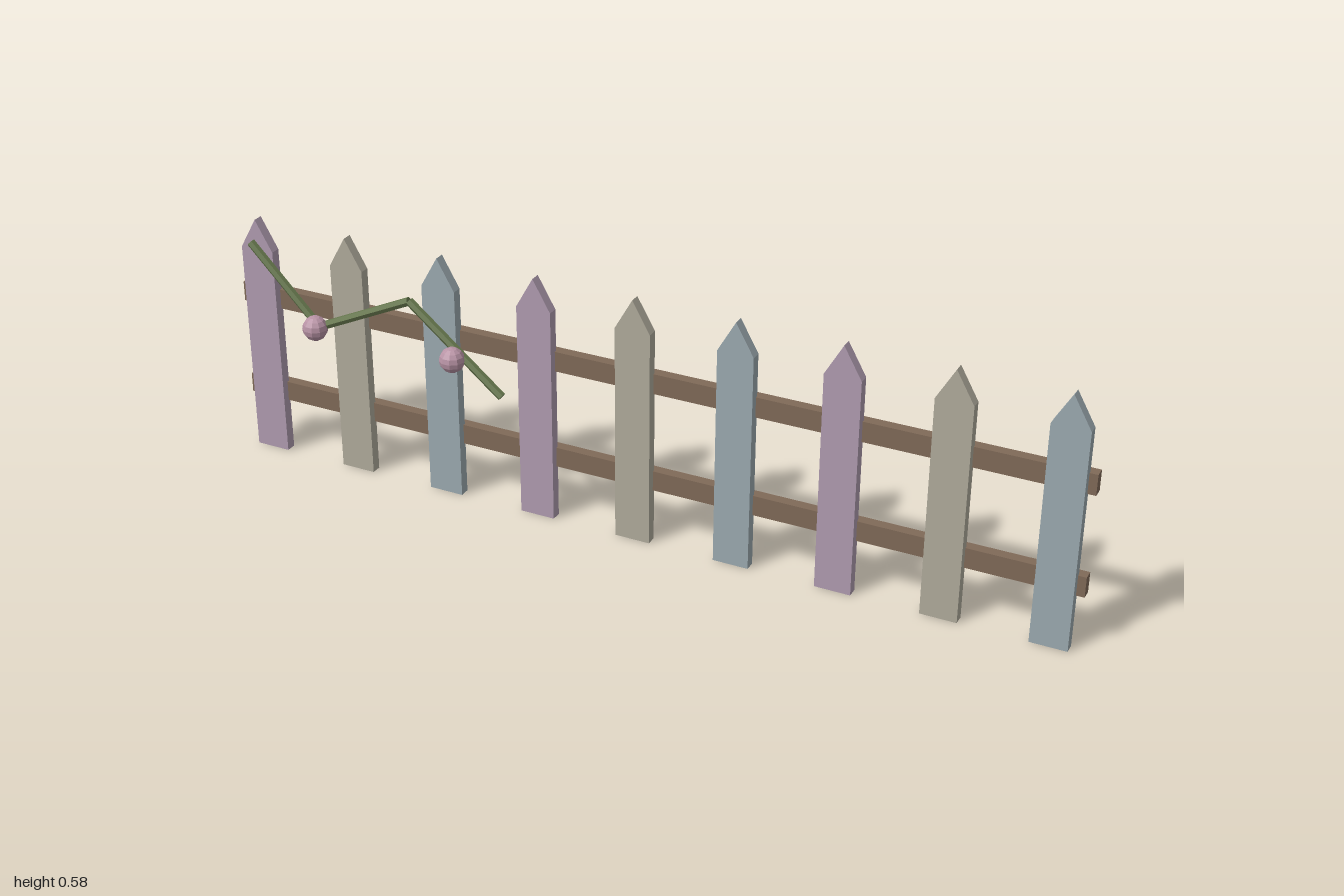
import * as THREE from 'three';

const material = (color) => new THREE.MeshStandardMaterial({ color, flatShading: true });

function addMesh(parent, name, geometry, mat, x = 0, y = 0, z = 0) {
  const mesh = new THREE.Mesh(geometry, mat);
  mesh.name = name;
  mesh.position.set(x, y, z);
  parent.add(mesh);
  return mesh;
}

export function createModel() {
  const fence = new THREE.Group();
  fence.name = 'picketFence';

  // Pointed pickets in three repeating pastel colours
  const half = 0.041, shoulder = 0.505, tip = 0.577;
  const outline = new THREE.Shape([
    [-half, 0], [half, 0], [half, shoulder], [0, tip], [-half, shoulder],
  ].map(([x, y]) => new THREE.Vector2(x, y)));
  const picketGeometry = new THREE.ExtrudeGeometry(outline, { depth: 0.024, bevelEnabled: false });
  const paints = [0xb09cb0, 0xb0ab9c, 0x9caab0].map(material);
  for (let i = 0; i < 9; i++) {
    addMesh(fence, 'picket', picketGeometry, paints[i % 3], (i - 4) * 0.2353, 0, -0.04);
  }

  // Two horizontal rails behind the pickets
  const wood = material(0x806a58);
  const railGeometry = new THREE.BoxGeometry(2, 0.047, 0.024);
  addMesh(fence, 'lowerRail', railGeometry, wood, 0, 0.148, -0.046);
  addMesh(fence, 'upperRail', railGeometry, wood, 0, 0.383, -0.046);

  // Zigzag vine of straight stems
  const vine = new THREE.Group();
  vine.name = 'vine';
  fence.add(vine);
  const green = material(0x66774d);
  const points = [
    [-0.942, 0.53, 0.003], [-0.765, 0.364, 0.015],
    [-0.53, 0.473, 0.007], [-0.298, 0.298, 0.019],
  ].map((p) => new THREE.Vector3(...p));
  const up = new THREE.Vector3(0, 1, 0);
  for (let i = 0; i < points.length - 1; i++) {
    const dir = points[i + 1].clone().sub(points[i]);
    const stem = addMesh(vine, 'vineStem', new THREE.CylinderGeometry(0.01, 0.01, dir.length(), 6), green);
    stem.position.copy(points[i]).addScaledVector(dir, 0.5);
    stem.quaternion.setFromUnitVectors(up, dir.normalize());
  }

  // Round blossoms on the vine
  const pink = material(0xb893a5);
  const blossomGeometry = new THREE.SphereGeometry(0.029, 10, 8);
  for (const x of [-0.766, -0.413]) {
    addMesh(vine, 'blossom', blossomGeometry, pink, x, 0.367, 0.03);
  }

  return fence;
}
